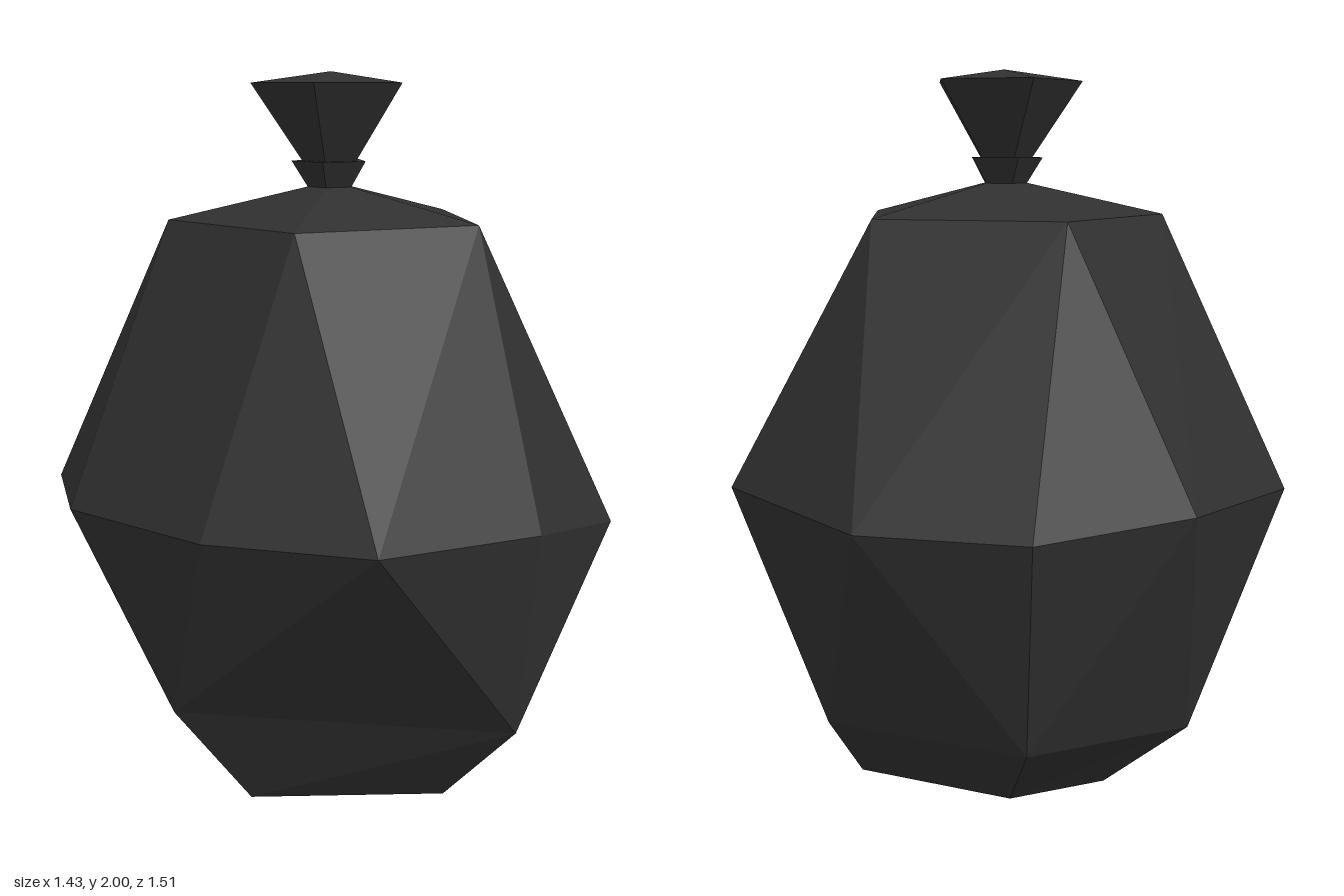
import * as THREE from 'three';

// Cross-sections of the body as [x, y, z], running from +x towards +z
const AXIS = -0.022;
const SHOULDER = Array.from({ length: 5 }, (_, i) => {
  const a = (i * Math.PI * 2) / 5;
  return [AXIS + 0.442 * Math.cos(a), 1.61, 0.442 * Math.sin(a)];
});
const BELLY = [
  [0.685, 0.87, -0.285], [0.715, 0.895, 0.255], [0.42, 0.8, 0.655], [0, 0.87, 0.755], [-0.455, 0.88, 0.64],
  [-0.69, 0.88, 0.26], [-0.72, 0.86, -0.27], [-0.545, 0.86, -0.595], [-0.02, 0.895, -0.76], [0.41, 0.87, -0.64],
];
const LOWER = [
  [0.545, 0.24, 0.065], [0.05, 0.285, 0.65], [-0.585, 0.32, -0.01], [-0.27, 0.2, -0.51], [0.3, 0.26, -0.49],
];
const BASE = [
  [0.375, 0.02, 0.16], [0.045, 0.015, 0.395], [-0.355, 0.005, 0.03], [-0.14, 0.005, -0.31], [0.15, 0.01, -0.24],
];
const CROWN = [AXIS, 1.71, 0];
const UNDERSIDE = [0, 0, 0];

function bodyGeometry() {
  const pos = [];
  const tri = (a, b, c) => pos.push(...a, ...b, ...c);
  const quad = (a, b, c, d) => { tri(a, b, c); tri(a, c, d); };
  for (let i = 0; i < 5; i++) {
    const n = (i + 1) % 5;
    const m0 = BELLY[2 * i], m1 = BELLY[2 * i + 1], m2 = BELLY[(2 * i + 2) % 10];
    // shoulder cap and upper facets
    tri(CROWN, SHOULDER[n], SHOULDER[i]);
    tri(SHOULDER[i], m1, m0);
    quad(SHOULDER[i], SHOULDER[n], m2, m1);
    // lower facets
    tri(m0, m1, LOWER[i]);
    tri(m1, m2, LOWER[i]);
    tri(m2, LOWER[n], LOWER[i]);
    // foot and underside
    quad(LOWER[i], LOWER[n], BASE[n], BASE[i]);
    tri(BASE[i], BASE[n], UNDERSIDE);
  }
  const geo = new THREE.BufferGeometry();
  geo.setAttribute('position', new THREE.Float32BufferAttribute(pos, 3));
  geo.computeVertexNormals();
  return geo;
}

export function createModel() {
  const group = new THREE.Group();
  group.name = 'facetedJar';
  const charcoal = new THREE.MeshStandardMaterial({ color: 0x303030, flatShading: true });
  charcoal.name = 'charcoal';

  const body = new THREE.Mesh(bodyGeometry(), charcoal);
  body.name = 'body';

  // Five-sided stem: small collar below a flared, slightly pointed top
  const profile = [
    [0, 1.69], [0.06, 1.69], [0.107, 1.765], [0.078, 1.765], [0.2156, 1.97], [0, 2],
  ].map(([r, y]) => new THREE.Vector2(r, y));
  const stem = new THREE.Mesh(new THREE.LatheGeometry(profile, 5, Math.PI / 2), charcoal);
  stem.name = 'stem';
  stem.position.x = AXIS;

  group.add(body, stem);
  return group;
}
